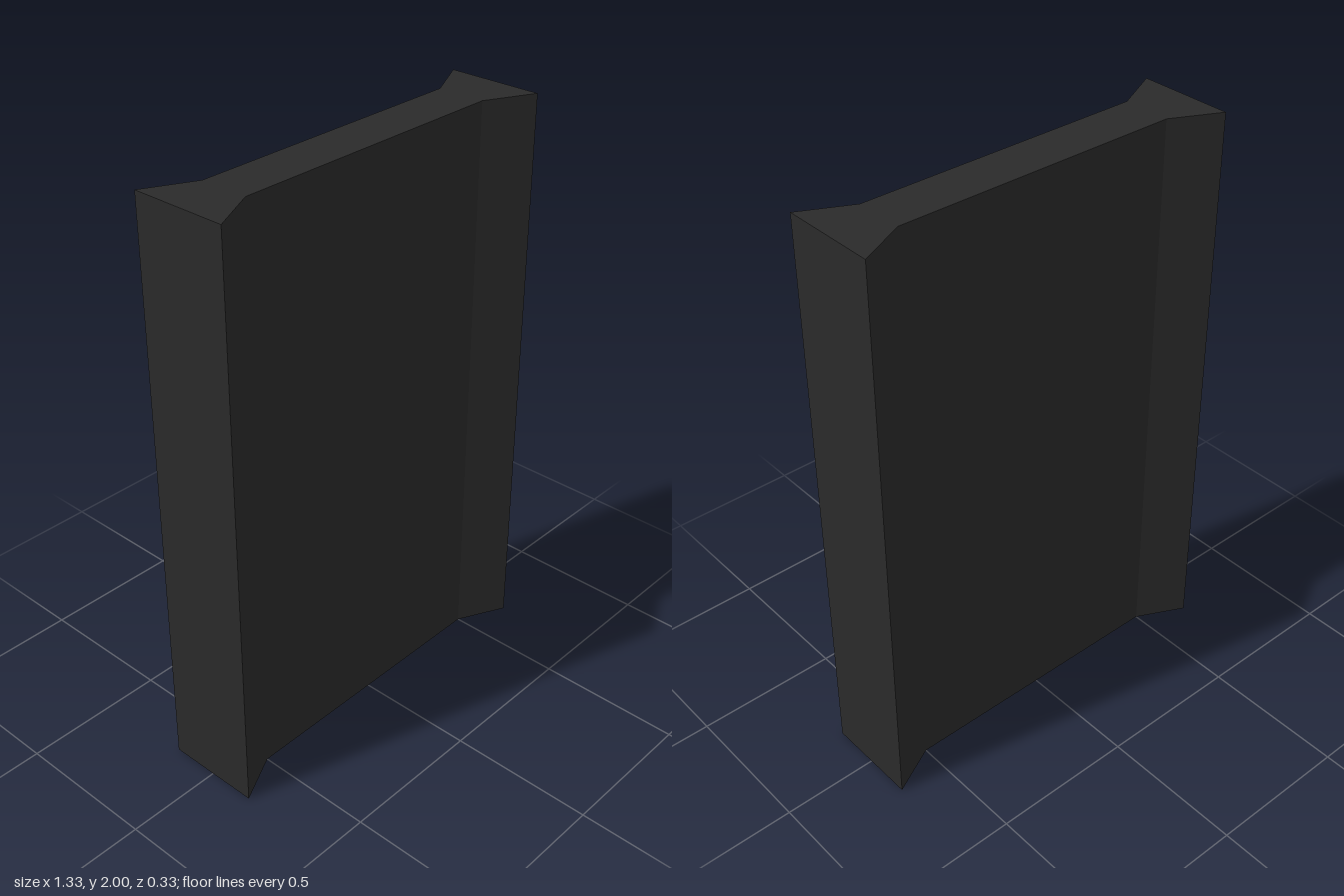
import * as THREE from 'three';

export function createModel() {
  const group = new THREE.Group();
  group.name = 'flaredPanel';

  const height = 2;
  const endX = 0.667, neckX = 0.5;       // outer ends and start of the flare
  const endZ = 0.167, neckZ = 0.0833;    // half thickness at the ends and in the middle

  // Cross-section: a slim web with a dovetail flare on both ends
  const section = new THREE.Shape([
    [-endX, -endZ], [-neckX, -neckZ], [neckX, -neckZ], [endX, -endZ],
    [endX, endZ], [neckX, neckZ], [-neckX, neckZ], [-endX, endZ],
  ].map(([x, z]) => new THREE.Vector2(x, z)));

  // Extruded upright from the ground
  const geometry = new THREE.ExtrudeGeometry(section, { depth: height, bevelEnabled: false });
  geometry.rotateX(-Math.PI / 2);

  const panel = new THREE.Mesh(
    geometry,
    new THREE.MeshStandardMaterial({ color: 0x2a2a2a, flatShading: true }),
  );
  panel.name = 'panel';
  group.add(panel);
  return group;
}
